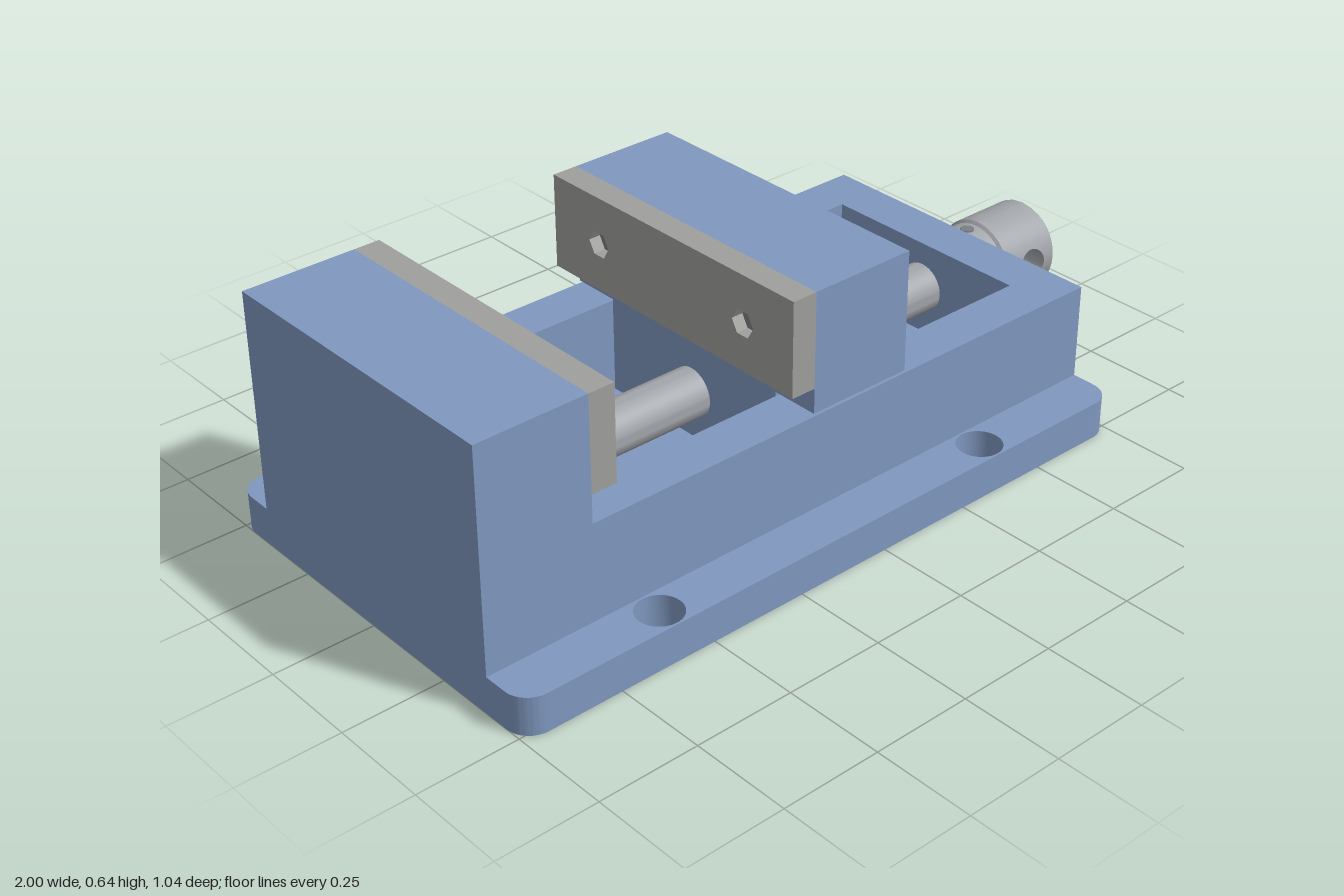
import * as THREE from 'three';
import { mergeVertices, toCreasedNormals } from 'three/addons/utils/BufferGeometryUtils.js';

const AXIS_Y = 0.217; // height of the lead screw and end bolts

function rect(x0, x1, y0, y1, r = 0) {
  const s = new THREE.Shape();
  if (!r) {
    s.moveTo(x0, y0).lineTo(x1, y0).lineTo(x1, y1).lineTo(x0, y1);
    s.closePath();
    return s;
  }
  s.moveTo(x0 + r, y0);
  s.lineTo(x1 - r, y0).absarc(x1 - r, y0 + r, r, -Math.PI / 2, 0);
  s.lineTo(x1, y1 - r).absarc(x1 - r, y1 - r, r, 0, Math.PI / 2);
  s.lineTo(x0 + r, y1).absarc(x0 + r, y1 - r, r, Math.PI / 2, Math.PI);
  s.lineTo(x0, y0 + r).absarc(x0 + r, y0 + r, r, Math.PI, Math.PI * 1.5);
  return s;
}

const circle = (x, y, r) => new THREE.Path().absarc(x, y, r, 0, Math.PI * 2);

function hexagon(x, y, r) {
  const pts = [];
  for (let i = 0; i < 6; i++) {
    const a = (i * Math.PI) / 3;
    pts.push(new THREE.Vector2(x + r * Math.cos(a), y + r * Math.sin(a)));
  }
  return new THREE.Path(pts);
}

function extrude(shape, holes, depth) {
  shape.holes.push(...holes);
  const g = new THREE.ExtrudeGeometry(shape, { depth, bevelEnabled: false, curveSegments: 24 });
  return toCreasedNormals(g, 0.6);
}

// Extrude upward from height y (shape drawn in x, -z)
const extrudeUp = (shape, holes, y, h) => extrude(shape, holes, h).rotateX(-Math.PI / 2).translate(0, y, 0);
// Extrude along +x from x (shape drawn in -z, y)
const extrudeX = (shape, holes, x, d) => extrude(shape, holes, d).rotateY(Math.PI / 2).translate(x, 0, 0);

// Turned part about the screw axis; profile is [x, radius] pairs
function turned(profile) {
  const g = new THREE.LatheGeometry(profile.map(([x, r]) => new THREE.Vector2(r, x)), 48);
  return toCreasedNormals(g.rotateZ(-Math.PI / 2), 0.5).translate(0, AXIS_Y, 0);
}

// Smooth surface over a grid of points fn(u, v), u and v in 0..1
function surface(nu, nv, fn) {
  const pos = [], idx = [];
  for (let i = 0; i <= nu; i++) for (let j = 0; j <= nv; j++) pos.push(...fn(i / nu, j / nv));
  for (let i = 0; i < nu; i++) for (let j = 0; j < nv; j++) {
    const a = i * (nv + 1) + j, d = a + nv + 1;
    idx.push(a, a + 1, d + 1, a, d + 1, d);
  }
  let g = new THREE.BufferGeometry();
  g.setAttribute('position', new THREE.Float32BufferAttribute(pos, 3));
  g.setIndex(idx);
  g = mergeVertices(g, 1e-5);
  g.computeVertexNormals();
  return g;
}

export function createModel() {
  const root = new THREE.Group();
  root.name = 'machineVise';
  const mat = (name, color) => {
    const m = new THREE.MeshStandardMaterial({ color });
    m.name = name;
    return m;
  };
  const blue = mat('bluePaint', 0x7f98bf);
  const plateGrey = mat('jawPlateGrey', 0x9f9f9d);
  const steel = mat('steel', 0xa2a5aa);
  const dark = mat('darkSteel', 0x7b7f83);

  const add = (name, geometry, material, parent = root) => {
    const m = new THREE.Mesh(geometry, material);
    m.name = name;
    parent.add(m);
    return m;
  };
  const box = (name, material, x0, x1, y0, y1, halfZ) =>
    add(name, new THREE.BoxGeometry(x1 - x0, y1 - y0, halfZ * 2)
      .translate((x0 + x1) / 2, (y0 + y1) / 2, 0), material);

  // Base flange with four mounting holes
  const mounts = [];
  for (const x of [-0.6, 0.36]) for (const z of [-0.46, 0.46]) mounts.push(circle(x, z, 0.055));
  add('baseFlange', extrudeUp(rect(-1, 0.755, -0.52, 0.52, 0.06), mounts, 0, 0.095), blue);

  // Body with slide pocket, and end slab with counterbores
  add('body', extrudeUp(rect(-1, 0.695, -0.4, 0.4), [rect(-0.72, 0.635, -0.283, 0.283)], 0.095, 0.24), blue);
  add('endSlab', extrudeX(rect(-0.4, 0.4, 0.095, 0.335),
    [-0.34, 0.34].map((z) => circle(z, AXIS_Y, 0.056)), 0.695, 0.06), blue);

  // Socket head bolts in the end slab
  for (const z of [-0.34, 0.34]) {
    const bolt = new THREE.Group();
    bolt.name = z > 0 ? 'leftEndBolt' : 'rightEndBolt';
    root.add(bolt);
    const head = new THREE.Shape().absarc(-z, AXIS_Y, 0.051, 0, Math.PI * 2);
    add('boltHead', extrudeX(head, [hexagon(-z, AXIS_Y, 0.029)], 0.7, 0.052), dark, bolt);
    add('socketFloor', new THREE.CylinderGeometry(0.045, 0.045, 0.02, 24)
      .rotateZ(-Math.PI / 2).translate(0.715, AXIS_Y, z), dark, bolt);
  }

  // Jaws
  box('fixedJaw', blue, -1, -0.72, 0.335, 0.64, 0.4);
  box('movingJaw', blue, -0.11, 0.165, 0.342, 0.64, 0.4);
  box('movingJawTongue', blue, -0.11, 0.165, 0.1, 0.342, 0.278);

  // Jaw plates with hex socket screws
  for (const [name, x, screwX] of [['fixedJawPlate', -0.72, -0.7], ['movingJawPlate', -0.175, -0.13]]) {
    const sockets = [-0.242, 0.242].map((z) => hexagon(z, 0.522, 0.034));
    add(name, extrudeX(rect(-0.4, 0.4, 0.405, 0.64), sockets, x, 0.065), plateGrey);
    for (const z of [-0.242, 0.242]) {
      add(name + 'Screw', new THREE.CylinderGeometry(0.033, 0.033, 0.03, 6)
        .rotateY(Math.PI / 2).rotateZ(Math.PI / 2).rotateX(Math.PI / 6).translate(screwX, 0.522, z), dark);
    }
  }

  // Lead screw and handle neck
  add('leadScrew', turned([[-0.64, 0], [-0.64, 0.052], [-0.63, 0.062], [0.76, 0.062]]), steel);
  add('handleNeck', turned([[0.755, 0], [0.755, 0.104], [0.825, 0.104]]), steel);
  add('setScrew', new THREE.CylinderGeometry(0.017, 0.017, 0.008, 20)
    .translate(0.79, AXIS_Y + 0.102, 0), dark);

  // Handle head: two half walls, each with a cross hole opening
  const R = 0.111, r = 0.043, holeX = 0.915, x0 = 0.827, x1 = 0.99;
  const wall = (u, v) => {
    const c = Math.cos(u * Math.PI * 2), s = Math.sin(u * Math.PI * 2);
    const m = Math.max(Math.abs(c), Math.abs(s));
    const x = THREE.MathUtils.lerp(holeX + r * c, (x0 + x1) / 2 + ((x1 - x0) / 2) * c / m, v);
    const t = THREE.MathUtils.lerp(Math.asin(r * s / R), (Math.PI / 2) * s / m, v);
    return [x, R * Math.sin(t), R * Math.cos(t)];
  };
  for (const turn of [0, Math.PI]) {
    add('handleWall', surface(64, 12, wall).rotateX(turn).translate(0, AXIS_Y, 0), steel);
  }
  add('handleCrossHole', surface(64, 1, (u, v) => {
    const a = u * Math.PI * 2, y = r * Math.sin(a);
    return [holeX + r * Math.cos(a), y, Math.sqrt(R * R - y * y) * (2 * v - 1)];
  }).translate(0, AXIS_Y, 0), steel);
  add('handleInnerCap', turned([[0.82, 0], [0.82, 0.104], [x0, R]]), steel);
  add('handleOuterCap', turned([[x1, R], [1, 0.102], [1, 0]]), steel);

  return root;
}
